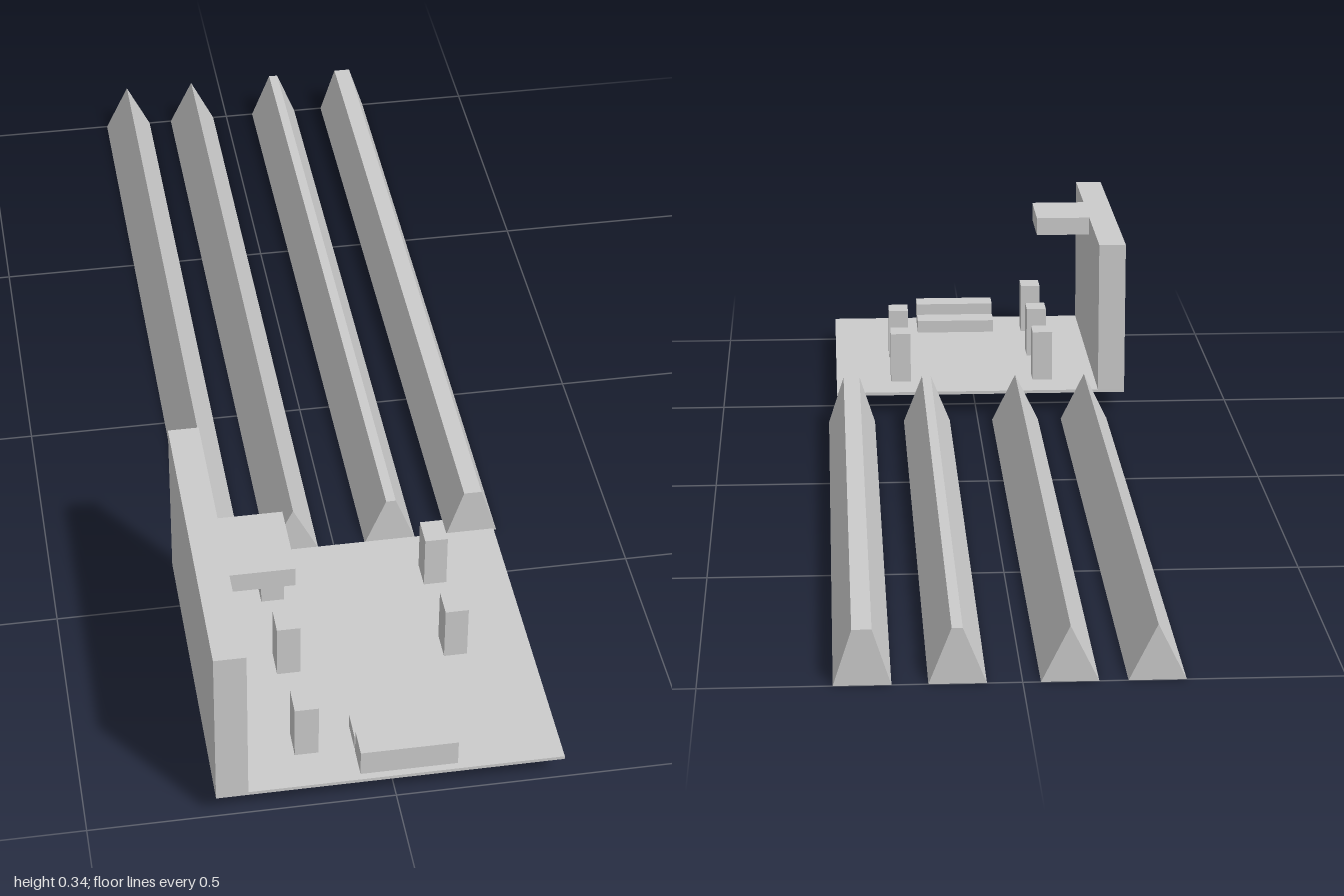
import * as THREE from 'three';

const material = new THREE.MeshStandardMaterial({ color: 0xcccccc, flatShading: true });

export function createModel() {
  const model = new THREE.Group();
  model.name = 'model';

  // Box given by its min and max extent on each axis
  const box = (name, [x0, x1], [y0, y1], [z0, z1]) => {
    const mesh = new THREE.Mesh(new THREE.BoxGeometry(x1 - x0, y1 - y0, z1 - z0), material);
    mesh.position.set((x0 + x1) / 2, (y0 + y1) / 2, (z0 + z1) / 2);
    mesh.name = name;
    model.add(mesh);
  };

  // Base plate, side wall and the overhanging tab
  const floor = 0.045;
  box('basePlate', [-0.292, 0.275], [0.039, floor], [0.435, 1]);
  box('sideWall', [-0.292, -0.24], [0.039, 0.338], [0.435, 1]);
  box('wallTab', [-0.24, -0.134], [0.303, 0.338], [0.67, 0.81]);

  // Posts: three on the wall side, two opposite
  const posts = [[-0.135, 0.535], [-0.135, 0.715], [-0.135, 0.905], [0.147, 0.535], [0.147, 0.715]];
  for (const [x, z] of posts) {
    box('post', [x - 0.0195, x + 0.0195], [floor, 0.143], [z - 0.025, z + 0.025]);
  }

  // Tall front block with a low block behind it
  box('frontBlock', [-0.057, 0.102], [floor, 0.091], [0.937, 0.988]);
  box('lowBlock', [-0.057, 0.102], [floor, 0.07], [0.878, 0.93]);

  // Long rails, each [centre x, left and right x of the top edge]
  const rails = [
    [-0.208, -0.208, -0.208],
    [-0.073, -0.073, -0.073],
    [0.1, 0.092, 0.109],
    [0.2465, 0.231, 0.262],
  ];
  for (const [x, topLeft, topRight] of rails) {
    const profile = new THREE.Shape();
    profile.moveTo(x - 0.045, 0);
    profile.lineTo(x + 0.045, 0);
    profile.lineTo(topRight, 0.091);
    if (topLeft !== topRight) profile.lineTo(topLeft, 0.091);
    profile.closePath();
    const rail = new THREE.Mesh(
      new THREE.ExtrudeGeometry(profile, { depth: 1.388, bevelEnabled: false }), material);
    rail.position.z = -1;
    rail.name = 'rail';
    model.add(rail);
  }

  return model;
}
